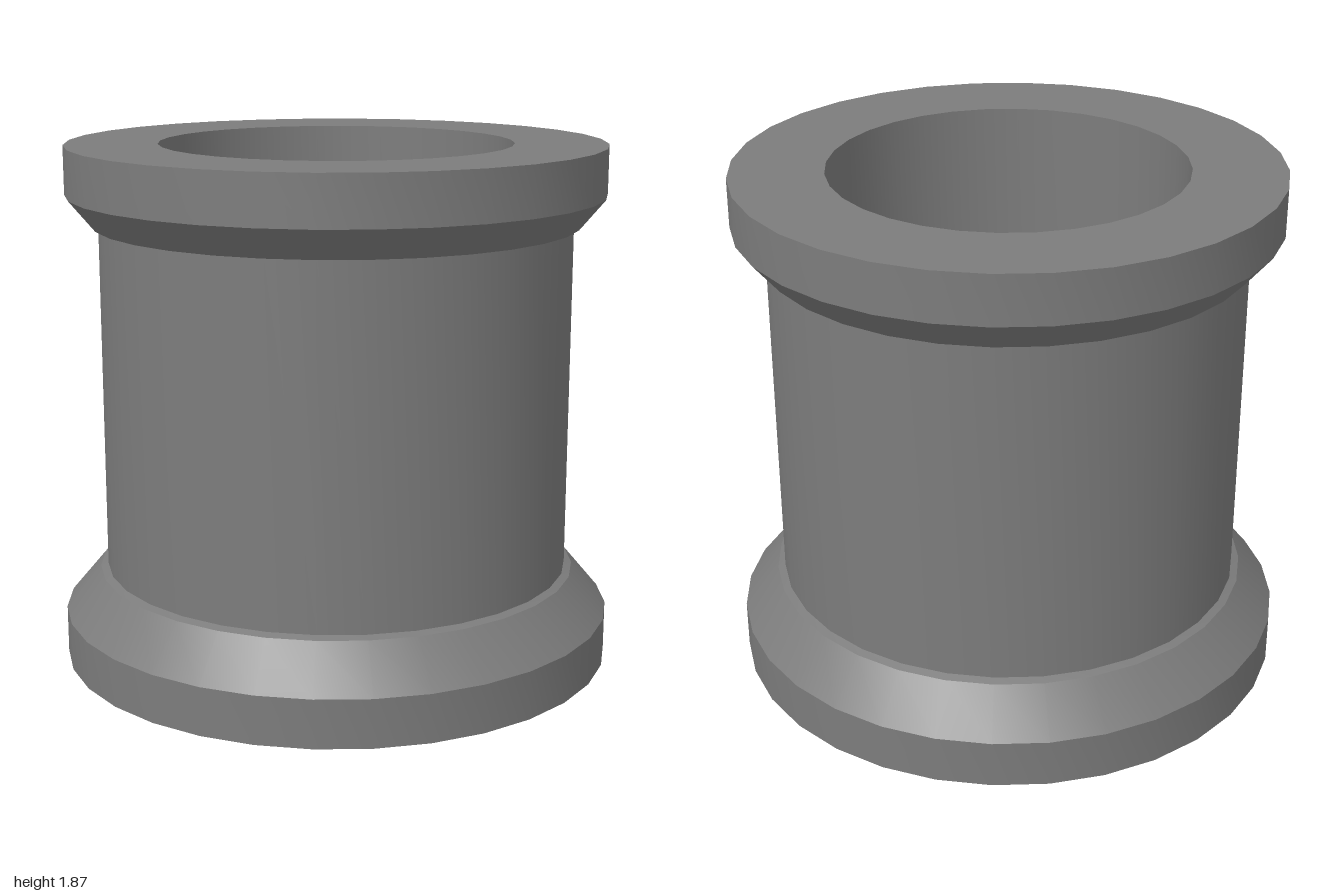
import * as THREE from 'three';
import { toCreasedNormals } from 'three/addons/utils/BufferGeometryUtils.js';

const SIDES = 32;
const DARK_GREY = 0x7c7c7c;

// Turned part from a [radius, height] profile; outside runs upward, inside downward
function turned(name, profile, side = THREE.FrontSide) {
  const points = profile.map(([r, y]) => new THREE.Vector2(r, y));
  const geometry = toCreasedNormals(new THREE.LatheGeometry(points, SIDES), 0.4);
  const mesh = new THREE.Mesh(geometry, new THREE.MeshStandardMaterial({ color: DARK_GREY, side }));
  mesh.name = name;
  return mesh;
}

export function createModel() {
  const group = new THREE.Group();
  group.name = 'flangedSleeve';

  // Hollow base flange: inner cone, underside rim, then outer wall and cone
  group.add(turned('baseFlange', [
    [0.73, 0.28], [0.84, 0.16], [0.855, 0.085], [0.855, 0],
    [1, 0], [1, 0.173], [0.872, 0.325], [0.845, 0.335],
  ]));

  // Straight barrel, outside and inside walls
  group.add(turned('barrelOuter', [[0.845, 0.335], [0.845, 1.585]]));
  group.add(turned('barrelInner', [[0.63, 1.75], [0.73, 1.75], [0.73, 0.28]]));

  // Top flange: conical underside, rim and flat top
  group.add(turned('topFlange', [
    [0.845, 1.585], [0.87, 1.585], [0.96, 1.693], [0.96, 1.867], [0.63, 1.867],
  ]));

  // Thin bore tube, open at the bottom
  group.add(turned('boreTube', [[0.63, 1.867], [0.63, 0.196]], THREE.DoubleSide));

  return group;
}
